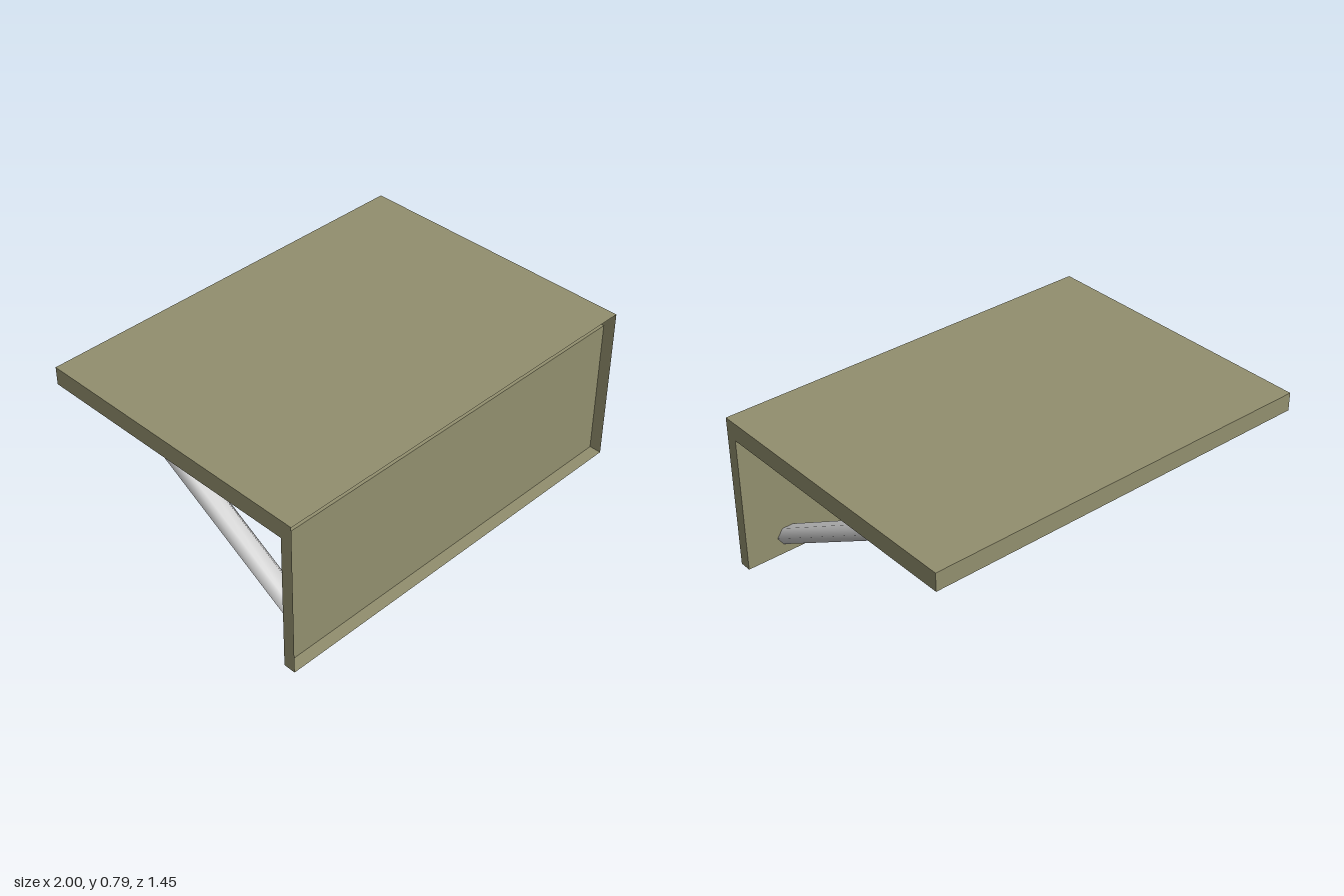
import * as THREE from 'three';
import { mergeVertices } from 'three/addons/utils/BufferGeometryUtils.js';

const FRONT = 0.725, BACK = -0.725, INNER = 0.665; // z planes
const TOP = 0.79, UNDER = 0.70; // y planes

export function createModel() {
  const group = new THREE.Group();
  group.name = 'foldingTable';

  const olive = new THREE.MeshStandardMaterial({ color: 0x928f6e, side: THREE.DoubleSide });
  olive.name = 'olive';
  const steel = new THREE.MeshStandardMaterial({ color: 0xd0d0d0, side: THREE.DoubleSide });
  steel.name = 'light grey';

  const add = (name, geometry, material) => {
    const mesh = new THREE.Mesh(geometry, material);
    mesh.name = name;
    group.add(mesh);
    return mesh;
  };

  // Horizontal sheet between two z planes, facing up (1) or down (-1)
  const level = (name, y, z0, z1, facing) => {
    const sheet = add(name, new THREE.PlaneGeometry(2, z1 - z0), olive);
    sheet.rotation.x = -facing * Math.PI / 2;
    sheet.position.set(0, y, (z0 + z1) / 2);
  };
  // Upright sheet facing the back
  const upright = (name, z, y0, y1) => {
    const sheet = add(name, new THREE.PlaneGeometry(2, y1 - y0), olive);
    sheet.rotation.y = Math.PI;
    sheet.position.set(0, (y0 + y1) / 2, z);
  };

  // Hollow L-shaped shell, open at the front
  level('boardTop', TOP, BACK, FRONT, 1);
  level('boardUnderside', UNDER, BACK, INNER, -1);
  level('panelBottom', 0, INNER, FRONT, -1);
  upright('boardBackEdge', BACK, UNDER, TOP);
  upright('panelBack', INNER, 0, UNDER);

  // L-shaped side walls
  for (const s of [-1, 1]) {
    const profile = [[FRONT, 0], [FRONT, TOP], [BACK, TOP], [BACK, UNDER], [INNER, UNDER], [INNER, 0]]
      .map(([z, y]) => new THREE.Vector2(-s * z, y));
    const wall = add(s > 0 ? 'leftSide' : 'rightSide', new THREE.ShapeGeometry(new THREE.Shape(profile)), olive);
    wall.rotation.y = s * Math.PI / 2;
    wall.position.x = s;
  }

  // Six-sided smooth struts, cut flush with the panel and the board underside
  const slope = 0.589;
  for (const [name, x] of [['rightStrut', -0.845], ['leftStrut', 0.775]]) {
    let geometry = new THREE.CylinderGeometry(1, 1, 2, 6, 1, true, Math.PI / 6);
    geometry.deleteAttribute('uv');
    geometry.deleteAttribute('normal');
    const p = geometry.attributes.position;
    for (let i = 0; i < p.count; i++) {
      const low = 0.095 + 0.051 * p.getZ(i);
      const atBoard = p.getY(i) > 0;
      const y = atBoard ? UNDER : low;
      const z = atBoard ? INNER - (UNDER - low) / slope : INNER;
      p.setXYZ(i, x + 0.06 * p.getX(i), y, z);
    }
    geometry = mergeVertices(geometry);
    geometry.computeVertexNormals();
    add(name, geometry, steel);
  }

  return group;
}
